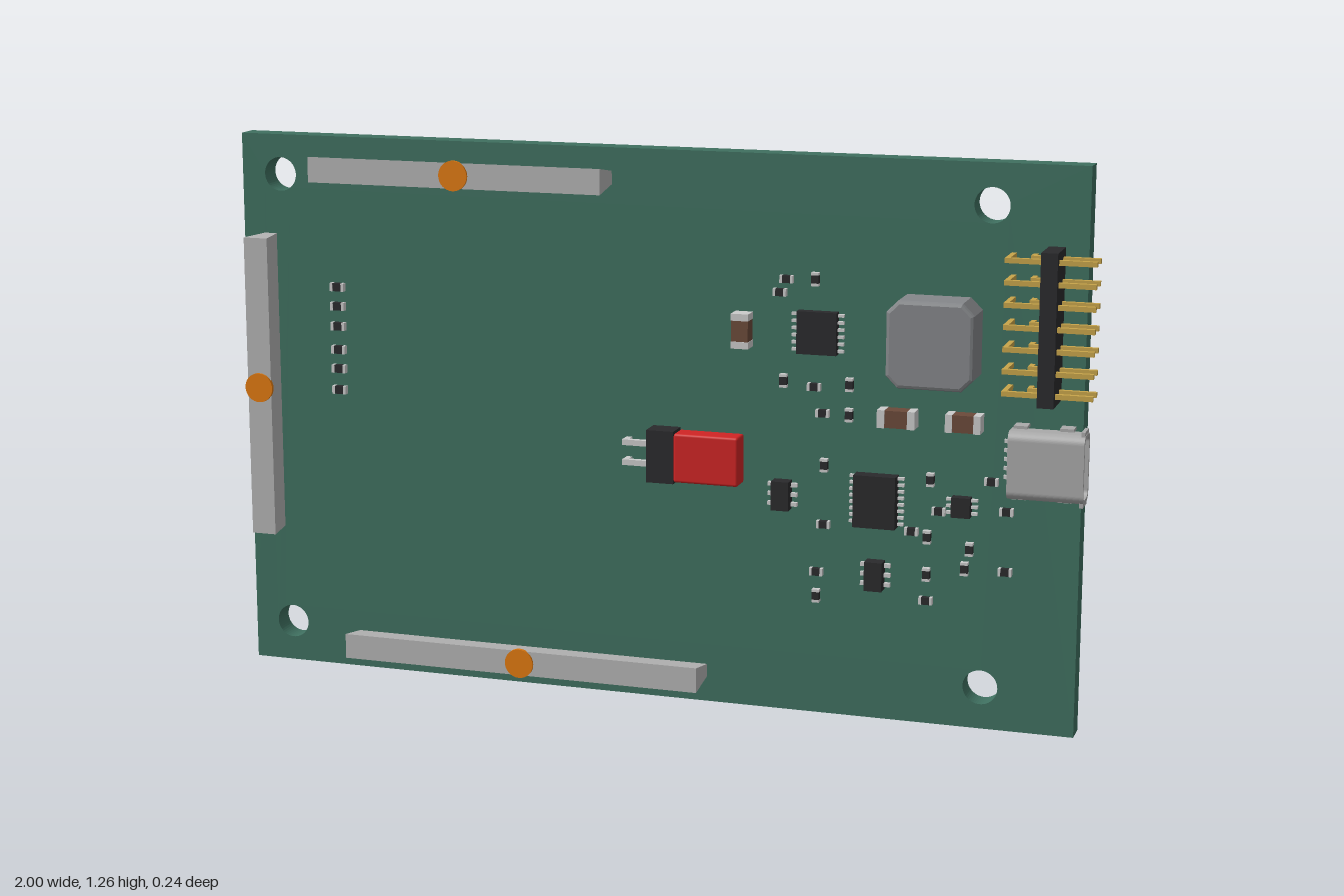
import * as THREE from 'three';
import { RoundedBoxGeometry } from 'three/addons/geometries/RoundedBoxGeometry.js';

const mat = (color, extra = {}) => new THREE.MeshStandardMaterial({ color, ...extra });
const GREY = mat(0xcccccc), SHELL = mat(0xaaaaaa), BLACK = mat(0x2a2a2c), GOLD = mat(0xc8a44a);
const GREEN = mat(0x3f7060), RED = mat(0xd02424), ORANGE = mat(0xe07a10), BROWN = mat(0x6b4a3a);
const COIL = mat(0x85878a), BAR = mat(0xb4b4b4, { flatShading: true, side: THREE.DoubleSide });
const TOP = 0.028, BOTTOM = -0.026;

function add(parent, name, geometry, material, x = 0, y = 0, z = 0) {
  const mesh = new THREE.Mesh(geometry, material);
  mesh.name = name;
  mesh.position.set(x, y, z);
  parent.add(mesh);
  return mesh;
}
const box = (parent, name, material, x, y, z, w, h, d) =>
  add(parent, name, new THREE.BoxGeometry(w, h, d), material, x, y, z);
// a box standing on the front face of the board
const onBoard = (parent, name, material, x, y, w, h, d) =>
  box(parent, name, material, x, y, TOP + d / 2, w, h, d);
const group = (parent, name) => {
  const g = new THREE.Group();
  g.name = name;
  parent.add(g);
  return g;
};
const shapeOf = pts => new THREE.Shape(pts.map(p => new THREE.Vector2(...p)));
const hash = n => { const s = Math.sin(n * 127.1) * 43758.5; return s - Math.floor(s); };

// cross-section in (y, z), swept along x and centred
function sweepX(pts, length, steps = 1) {
  const g = new THREE.ExtrudeGeometry(shapeOf(pts), { depth: length, steps, bevelEnabled: false });
  g.translate(0, 0, -length / 2);
  return g.applyMatrix4(new THREE.Matrix4().makeBasis(
    new THREE.Vector3(0, 1, 0), new THREE.Vector3(0, 0, 1), new THREE.Vector3(1, 0, 0)));
}

// pin strip: flared bar in front, ragged wedge behind, legs through the board
function pinStrip(parent, name, x, y, frontLength, backLength, marker, vertical) {
  const g = group(parent, name);
  g.position.set(x, y, 0);
  if (vertical) g.rotation.z = Math.PI / 2;
  add(g, 'flaredBar', sweepX([[-0.015, 0.032], [0.015, 0.032], [0.029, 0.115], [-0.029, 0.115]], frontLength), BAR);
  const wedge = sweepX([[-0.009, -0.115], [0.009, -0.115], [0.028, -0.05], [0.02, -0.037], [-0.02, -0.037], [-0.028, -0.05]], backLength, 70);
  const p = wedge.attributes.position;
  for (let i = 0; i < p.count; i++) {
    const k = Math.round(p.getX(i) * 1000);
    if (p.getZ(i) < -0.1) {
      p.setZ(i, p.getZ(i) + hash(k) * 0.02);
      p.setY(i, p.getY(i) + (hash(k + 7) - 0.5) * 0.02);
    }
  }
  add(g, 'raggedWedge', wedge, BAR);
  const n = Math.round(backLength / 0.03);
  for (let i = 0; i < n; i++) for (const s of [-1, 1])
    box(g, 'stripLeg', GREY, (i + 0.5 - n / 2) * 0.028, s * 0.009, -0.002, 0.008, 0.008, 0.076);
  const disc = new THREE.CylinderGeometry(0.034, 0.034, 0.008, 32).rotateX(Math.PI / 2);
  add(g, 'markerDisc', disc, ORANGE, marker, 0, 0.116);
}

function pinHeader(parent) {
  const g = group(parent, 'pinHeader');
  box(g, 'headerBody', BLACK, 0.902, 0.92, 0.076, 0.036, 0.332, 0.094);
  for (let i = 0; i < 7; i++) {
    const y = 0.777 + i * 0.0478;
    for (const [z, bend] of [[0.055, 0.857], [0.102, 0.81]]) {
      box(g, 'pin', GOLD, (bend + 1) / 2, y, z, 1 - bend, 0.011, 0.011);
      box(g, 'pinTail', GOLD, bend, y, (z - 0.04) / 2, 0.011, 0.011, z + 0.051);
    }
  }
}

function roundRect(target, w, h, r) {
  const a = w / 2, b = h / 2;
  for (const [cx, cy, start] of [[a - r, b - r, 0], [r - a, b - r, 1], [r - a, r - b, 2], [a - r, r - b, 3]])
    target.absarc(cx, cy, r, start * Math.PI / 2, (start + 1) * Math.PI / 2, false);
  return target;
}

// socket with its mouth facing +x
function socket(parent) {
  const g = group(parent, 'socket');
  g.position.set(0.9, 0.618, 0.066);
  const toX = new THREE.Matrix4().makeBasis(
    new THREE.Vector3(0, 1, 0), new THREE.Vector3(0, 0, 1), new THREE.Vector3(1, 0, 0));
  const s = roundRect(new THREE.Shape(), 0.15, 0.07, 0.02);
  s.holes.push(roundRect(new THREE.Path(), 0.134, 0.054, 0.014));
  const shell = new THREE.ExtrudeGeometry(s, { depth: 0.165, bevelEnabled: false }).translate(0, 0, -0.08);
  add(g, 'socketShell', shell.applyMatrix4(toX), SHELL);
  box(g, 'socketBack', BLACK, -0.06, 0, 0, 0.03, 0.134, 0.054);
  box(g, 'socketTongue', BLACK, 0.01, 0, 0.002, 0.12, 0.09, 0.016);
  for (const side of [-1, 1]) {
    box(g, 'mouthFlange', SHELL, 0.08, side * 0.077, 0, 0.008, 0.012, 0.05);
    for (const x of [-0.06, 0.04])
      box(g, 'mountTab', SHELL, x, side * 0.078, -0.05, 0.03, 0.007, 0.09);
  }
  for (let i = -2; i <= 2; i++)
    box(g, 'contact', GREY, -0.088, i * 0.02, -0.033, 0.022, 0.008, 0.008);
}

function lamp(parent) {
  const g = group(parent, 'indicatorLamp');
  box(g, 'lampBase', BLACK, 0.033, 0.577, 0.056, 0.064, 0.12, 0.054);
  add(g, 'lampLens', new RoundedBoxGeometry(0.15, 0.112, 0.052, 3, 0.006), RED, 0.14, 0.577, 0.058);
  for (const y of [0.554, 0.6]) {
    box(g, 'lampLead', GREY, -0.03, y, 0.055, 0.066, 0.013, 0.013);
    box(g, 'lampLeadTail', GREY, -0.056, y, 0.01, 0.013, 0.013, 0.1);
  }
}

// chip with legs along its left and right edges
function chip(parent, name, x, y, w, h, d, legs) {
  const g = group(parent, name);
  onBoard(g, 'chipBody', BLACK, x, y, w, h, d);
  for (let i = 0; i < legs; i++) for (const s of [-1, 1])
    onBoard(g, 'chipLeg', GREY, x + s * (w / 2 + 0.006), y + ((i + 0.5) / legs - 0.5) * h, 0.016, h / legs * 0.4, 0.01);
}

// two-terminal part, lying along x or y
function passive(parent, name, material, x, y, length, width, d, upright) {
  const g = group(parent, name);
  g.position.set(x, y, 0);
  if (upright) g.rotation.z = Math.PI / 2;
  onBoard(g, 'passiveBody', material, 0, 0, length * 0.6, width * 0.96, d * 0.96);
  for (const s of [-1, 1])
    onBoard(g, 'passiveEnd', GREY, s * length * 0.4, 0, length * 0.2, width, d);
}

export function createModel() {
  const model = new THREE.Group();
  model.name = 'circuitBoard';

  // board with four mounting holes
  const outline = shapeOf([[-1, 0], [0.97, 0], [0.97, 1.26], [-1, 1.26]]);
  for (const x of [-0.905, 0.76]) for (const y of [0.095, 1.168])
    outline.holes.push(new THREE.Path().absarc(x, y, 0.039, 0, Math.PI * 2, true));
  const board = new THREE.ExtrudeGeometry(outline, { depth: TOP - BOTTOM, bevelEnabled: false, curveSegments: 24 });
  add(model, 'board', board, GREEN, 0, 0, BOTTOM);

  // strips along three edges
  pinStrip(model, 'topStrip', -0.445, 1.193, 0.7, 0.67, 0.005, false);
  pinStrip(model, 'bottomStrip', -0.3, 0.074, 0.86, 0.82, 0.005, false);
  pinStrip(model, 'sideStrip', -0.932, 0.68, 0.7, 0.67, 0, true);

  pinHeader(model);
  socket(model);
  lamp(model);

  // large coil block with chamfered corners
  const a = 0.096, c = 0.07;
  const coil = new THREE.ExtrudeGeometry(
    shapeOf([[-c, -a], [c, -a], [a, -c], [a, c], [c, a], [-c, a], [-a, c], [-a, -c]]),
    { depth: 0.082, bevelThickness: 0.008, bevelSize: 0.008, bevelOffset: -0.008, bevelSegments: 2 });
  add(model, 'coilBlock', coil, COIL, 0.65, 0.872, TOP + 0.004);

  // chips
  chip(model, 'squareChip', 0.382, 0.872, 0.09, 0.095, 0.022, 6);
  chip(model, 'mainChip', 0.52, 0.505, 0.095, 0.118, 0.034, 8);
  chip(model, 'smallChipA', 0.305, 0.502, 0.04, 0.066, 0.032, 3);
  chip(model, 'smallChipB', 0.52, 0.335, 0.04, 0.066, 0.032, 3);
  chip(model, 'smallChipC', 0.711, 0.505, 0.042, 0.045, 0.024, 3);

  // capacitors
  passive(model, 'capacitorA', BROWN, 0.212, 0.87, 0.078, 0.04, 0.04, true);
  passive(model, 'capacitorB', BROWN, 0.567, 0.695, 0.084, 0.04, 0.04, false);
  passive(model, 'capacitorC', BROWN, 0.715, 0.695, 0.078, 0.04, 0.04, false);

  // small resistors
  for (const y of [0.912, 0.867, 0.82, 0.765, 0.72, 0.67])
    passive(model, 'resistor', BLACK, -0.765, y, 0.034, 0.019, 0.014, false);
  const small = [[0.31, 0.987], [0.375, 0.99], [0.295, 0.957], [0.455, 0.76], [0.375, 0.75], [0.305, 0.76],
    [0.395, 0.692], [0.455, 0.692], [0.6, 0.44], [0.635, 0.43], [0.81, 0.5], [0.73, 0.41], [0.81, 0.365],
    [0.635, 0.345], [0.635, 0.285], [0.72, 0.365], [0.385, 0.33], [0.385, 0.275], [0.775, 0.565],
    [0.4, 0.575], [0.4, 0.44], [0.64, 0.56], [0.66, 0.49]];
  small.forEach(([x, y], i) => passive(model, 'resistor', BLACK, x, y, 0.03, 0.017, 0.014, i % 2 === 1));

  return model;
}
